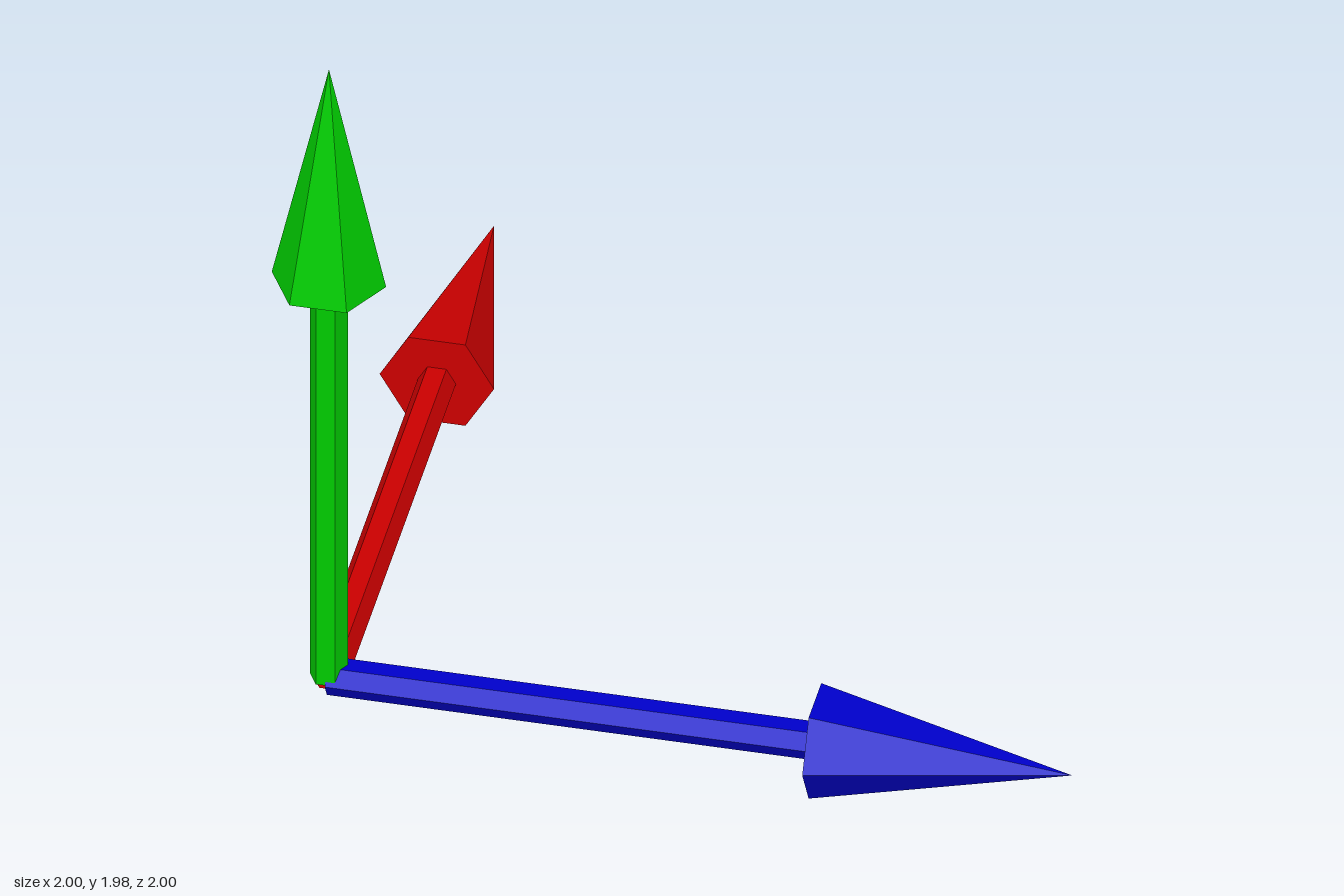
import * as THREE from 'three';

const R = 1 / 7;            // arrowhead radius
const SHAFT_R = R / 3;
const SHAFT_L = 8.5 * R;
const HEAD_L = 4.5 * R;

// Six-sided arrow pointing up +y from its own origin
function makeArrow(name, color, thetaStart) {
  const material = new THREE.MeshStandardMaterial({ color, flatShading: true });
  const arrow = new THREE.Group();
  arrow.name = name;

  const shaft = new THREE.Mesh(
    new THREE.CylinderGeometry(SHAFT_R, SHAFT_R, SHAFT_L, 6, 1, false, thetaStart), material);
  shaft.name = name + 'Shaft';
  shaft.position.y = SHAFT_L / 2;

  const head = new THREE.Mesh(
    new THREE.ConeGeometry(R, HEAD_L, 6, 1, false, thetaStart), material);
  head.name = name + 'Head';
  head.position.y = SHAFT_L + HEAD_L / 2;

  arrow.add(shaft, head);
  return arrow;
}

export function createModel() {
  const model = new THREE.Group();
  model.name = 'axisArrows';

  // Upright arrow
  const up = makeArrow('upArrow', 0x00cc00, Math.PI / 2);

  // Arrow along +x
  const side = makeArrow('sideArrow', 0x0000cc, 0);
  side.rotation.z = -Math.PI / 2;

  // Arrow along -z
  const back = makeArrow('backArrow', 0xcc0000, Math.PI / 2);
  back.rotation.x = -Math.PI / 2;

  // All three meet at a shared corner
  for (const arrow of [up, side, back]) {
    arrow.position.set(-1 + R, R * Math.cos(Math.PI / 6), 1 - R);
    model.add(arrow);
  }
  return model;
}
